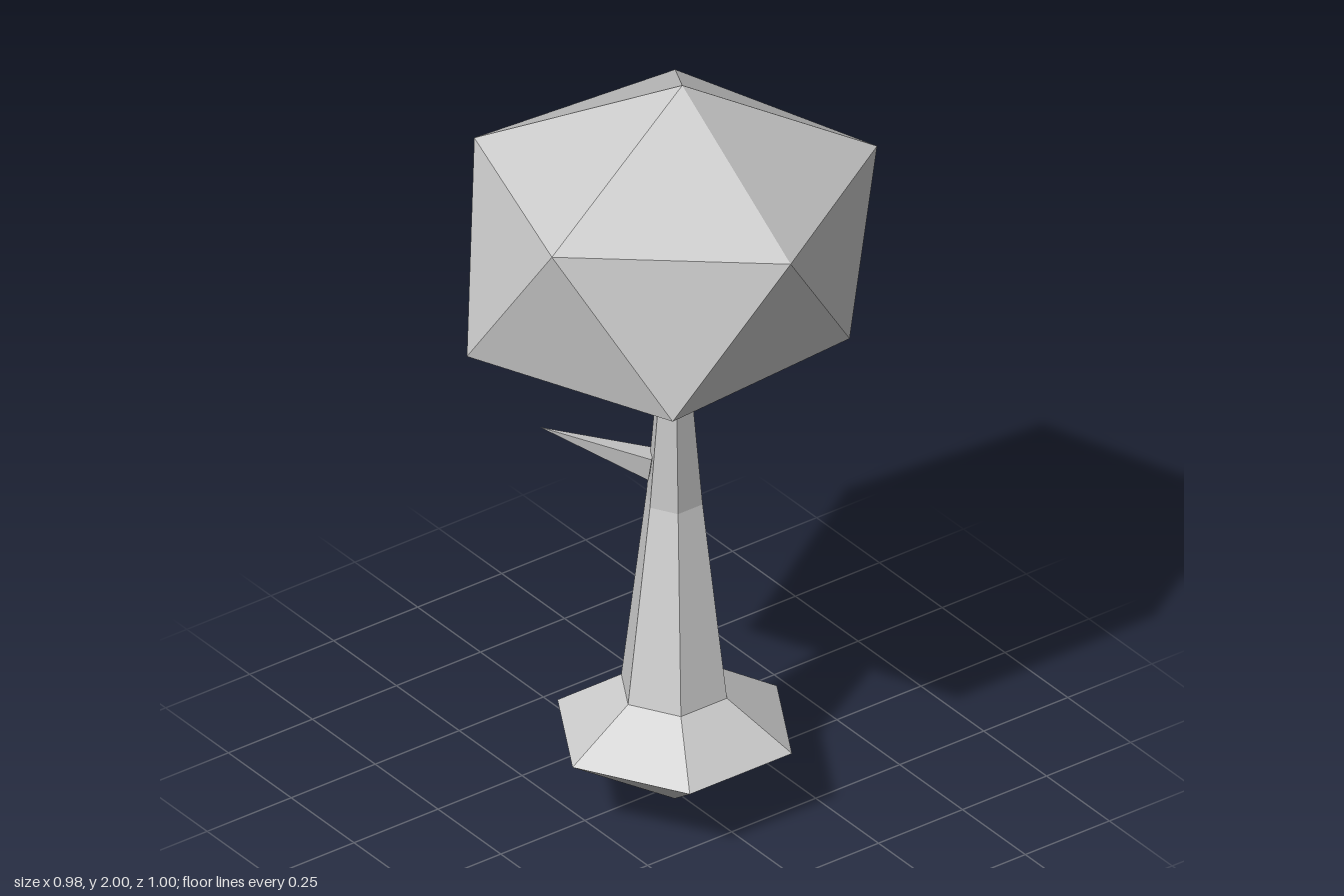
import * as THREE from 'three';
import { ConvexGeometry } from 'three/addons/geometries/ConvexGeometry.js';

const material = new THREE.MeshStandardMaterial({ color: 0xcccccc, flatShading: true });

function part(name, geometry) {
  const mesh = new THREE.Mesh(geometry, material);
  mesh.name = name;
  return mesh;
}

// Faceted solid around a handful of corner points
const hull = (points) => new ConvexGeometry(points.map((p) => new THREE.Vector3(...p)));

// Skin over hexagonal sections [x, y, z, radius]; radius 0 closes an end
function loft(sections, sides = 6) {
  const positions = [];
  const index = [];
  sections.forEach(([x, y, z, r], s) => {
    for (let i = 0; i < sides; i++) {
      const a = (i / sides) * Math.PI * 2;
      positions.push(x + r * Math.sin(a), y, z + r * Math.cos(a));
      if (s === 0) continue;
      const next = (i + 1) % sides;
      const low = (s - 1) * sides;
      const high = s * sides;
      if (sections[s - 1][3] > 0) index.push(low + i, low + next, high + next);
      if (r > 0) index.push(low + i, high + next, high + i);
    }
  });
  const geometry = new THREE.BufferGeometry();
  geometry.setAttribute('position', new THREE.Float32BufferAttribute(positions, 3));
  geometry.setIndex(index);
  const flat = geometry.toNonIndexed();
  flat.computeVertexNormals();
  return flat;
}

export function createModel() {
  const tree = new THREE.Group();
  tree.name = 'tree';

  // Bent trunk rising from a flared, pointed root
  tree.add(part('trunk', loft([
    [0.05, 0.005, 0.02, 0],
    [0.05, 0.208, 0.02, 0.304],
    [0.049, 0.322, 0.021, 0.137],
    [-0.011, 0.805, -0.025, 0.073],
    [0.015, 1.175, -0.005, 0.042],
    [0.015, 1.175, -0.005, 0],
  ])));

  // Thin three-sided twig
  tree.add(part('branch', hull([
    [-0.26, 0.96, 0.19],
    [-0.015, 0.935, 0.04],
    [-0.035, 0.865, 0.035],
    [-0.065, 0.925, -0.01],
  ])));

  // Slightly uneven twenty-sided crown
  tree.add(part('crown', hull([
    [0.04, 2, -0.01],
    [0.18, 1.72, -0.485], [-0.35, 1.745, -0.28], [-0.38, 1.755, 0.295],
    [0.17, 1.765, 0.475], [0.485, 1.725, 0],
    [-0.115, 1.34, -0.505], [0.385, 1.37, -0.25], [0.41, 1.355, 0.295],
    [-0.135, 1.34, 0.5], [-0.49, 1.365, -0.04],
    [0.04, 1.145, 0],
  ])));

  return tree;
}
